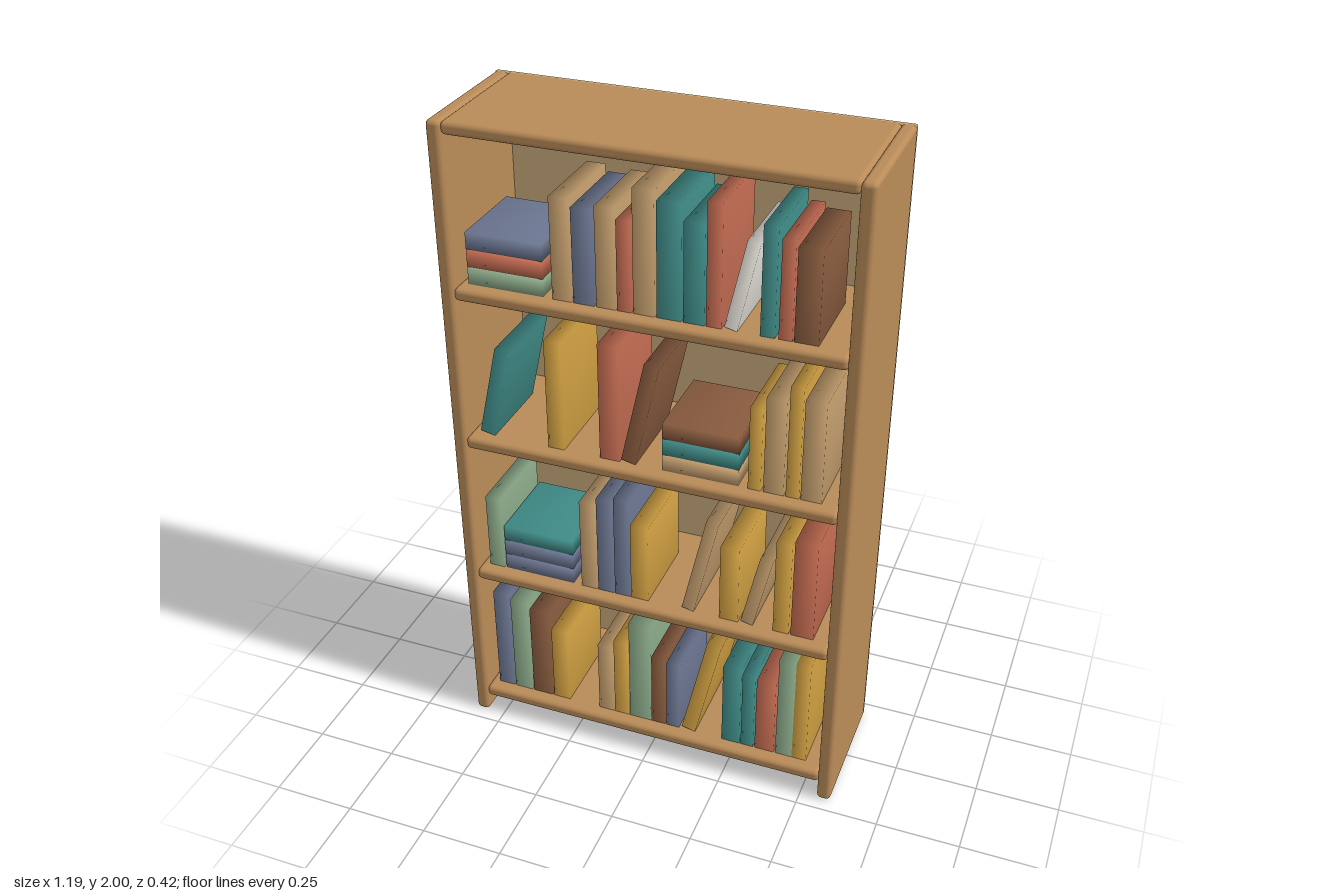
import * as THREE from 'three';
import { RoundedBoxGeometry } from 'three/addons/geometries/RoundedBoxGeometry.js';
import { mergeVertices } from 'three/addons/utils/BufferGeometryUtils.js';

const paint = (color) => new THREE.MeshStandardMaterial({ color });
const wood = paint(0xb98b58);
const panel = paint(0xc9ab7c);
const covers = {
  tan: paint(0xc19c6c), slate: paint(0x6b7590), teal: paint(0x3f8a86), red: paint(0xc06a50),
  yellow: paint(0xcf9f42), sage: paint(0x8aa888), brown: paint(0x875a3e), white: paint(0xece8e0),
};
const BOOK_FRONT = 0.167, BOOK_DEPTH = 0.255, LEAN = 0.22;

// Upright books: [cover, centre x, thickness, height, leaning?]; stacks: [centre x, covers from the bottom up]
const shelves = [
  { y: 0.098, stacks: [], books: [
    ['slate', -0.5, 0.053, 0.365], ['sage', -0.44, 0.058, 0.35], ['brown', -0.372, 0.066, 0.328],
    ['yellow', -0.306, 0.055, 0.27], ['tan', -0.152, 0.05, 0.255], ['yellow', -0.1, 0.048, 0.285],
    ['sage', -0.038, 0.07, 0.37], ['brown', 0.022, 0.045, 0.258], ['slate', 0.07, 0.042, 0.25],
    ['yellow', 0.162, 0.045, 0.365, true], ['teal', 0.26, 0.058, 0.29], ['teal', 0.313, 0.04, 0.28],
    ['red', 0.368, 0.06, 0.27], ['sage', 0.43, 0.052, 0.37], ['yellow', 0.479, 0.045, 0.37]] },
  { y: 0.572, stacks: [[-0.36, ['slate', 'slate', 'teal']]], books: [
    ['sage', -0.503, 0.048, 0.25], ['tan', -0.197, 0.05, 0.305], ['slate', -0.143, 0.05, 0.33],
    ['slate', -0.09, 0.048, 0.342], ['yellow', -0.035, 0.055, 0.262], ['tan', 0.153, 0.038, 0.335, true],
    ['yellow', 0.243, 0.058, 0.257], ['tan', 0.325, 0.038, 0.245, true], ['yellow', 0.402, 0.048, 0.315],
    ['red', 0.466, 0.068, 0.33]] },
  { y: 1.047, stacks: [[0.15, ['tan', 'teal', 'brown']]], books: [
    ['teal', -0.47, 0.046, 0.29, true], ['yellow', -0.285, 0.05, 0.345], ['red', -0.12, 0.06, 0.365],
    ['brown', -0.028, 0.044, 0.33, true], ['yellow', 0.307, 0.037, 0.26], ['tan', 0.362, 0.058, 0.3],
    ['yellow', 0.416, 0.038, 0.345], ['tan', 0.469, 0.06, 0.313]] },
  { y: 1.525, stacks: [[-0.414, ['sage', 'red', 'slate']]], books: [
    ['tan', -0.248, 0.055, 0.296], ['slate', -0.184, 0.06, 0.275], ['tan', -0.12, 0.055, 0.29],
    ['red', -0.068, 0.04, 0.26], ['tan', -0.012, 0.06, 0.355], ['teal', 0.058, 0.068, 0.33],
    ['teal', 0.127, 0.058, 0.286], ['red', 0.182, 0.042, 0.35], ['white', 0.257, 0.036, 0.262, true],
    ['teal', 0.328, 0.04, 0.31], ['red', 0.376, 0.037, 0.28], ['brown', 0.432, 0.066, 0.265]] },
];

// Rounded board given by its low and high corners
function board(name, lo, hi, radius, material) {
  const s = hi.map((v, i) => v - lo[i]);
  const mesh = new THREE.Mesh(new RoundedBoxGeometry(...s, 4, radius), material);
  mesh.position.set(...hi.map((v, i) => (v + lo[i]) / 2));
  mesh.name = name;
  return mesh;
}

// Soft-shaded block: corners share their normals
function book(name, w, h, cover) {
  const box = new THREE.BoxGeometry(w, h, BOOK_DEPTH);
  box.deleteAttribute('normal');
  box.deleteAttribute('uv');
  const geometry = mergeVertices(box);
  geometry.computeVertexNormals();
  const mesh = new THREE.Mesh(geometry, covers[cover]);
  mesh.name = name;
  return mesh;
}

export function createModel() {
  const model = new THREE.Group();
  model.name = 'bookcase';

  // Case
  for (const [name, x] of [['rightSide', -0.573], ['leftSide', 0.573]]) {
    model.add(board(name, [x - 0.021, 0, -0.207], [x + 0.021, 2, 0.211], 0.014, wood));
  }
  model.add(board('backPanel', [-0.593, 0.002, -0.211], [0.593, 1.999, -0.195], 0.005, panel));
  for (const y of [...shelves.map((s) => s.y), 2]) {
    model.add(board(y === 2 ? 'topBoard' : 'shelf', [-0.554, y - 0.038, -0.207], [0.554, y, 0.207], 0.014, wood));
  }

  for (const { y, books, stacks } of shelves) {
    const row = new THREE.Group();
    row.name = 'bookRow';
    row.position.set(0, y, BOOK_FRONT - BOOK_DEPTH / 2);
    model.add(row);

    // Upright and leaning books, resting on their lowest corner
    for (const [cover, x, w, height, leaning] of books) {
      const tilt = leaning ? LEAN : 0;
      const h = (height - w * Math.sin(tilt)) / Math.cos(tilt);
      const mesh = book(leaning ? 'leaningBook' : 'uprightBook', w, h, cover);
      mesh.position.set(x, height / 2, 0);
      mesh.rotation.z = -tilt;
      row.add(mesh);
    }

    // Books lying flat
    for (const [x, pile] of stacks) {
      pile.forEach((cover, i) => {
        const mesh = book('flatBook', 0.224, 0.05, cover);
        mesh.position.set(x, 0.026 + i * 0.052, 0);
        row.add(mesh);
      });
    }
  }
  return model;
}
